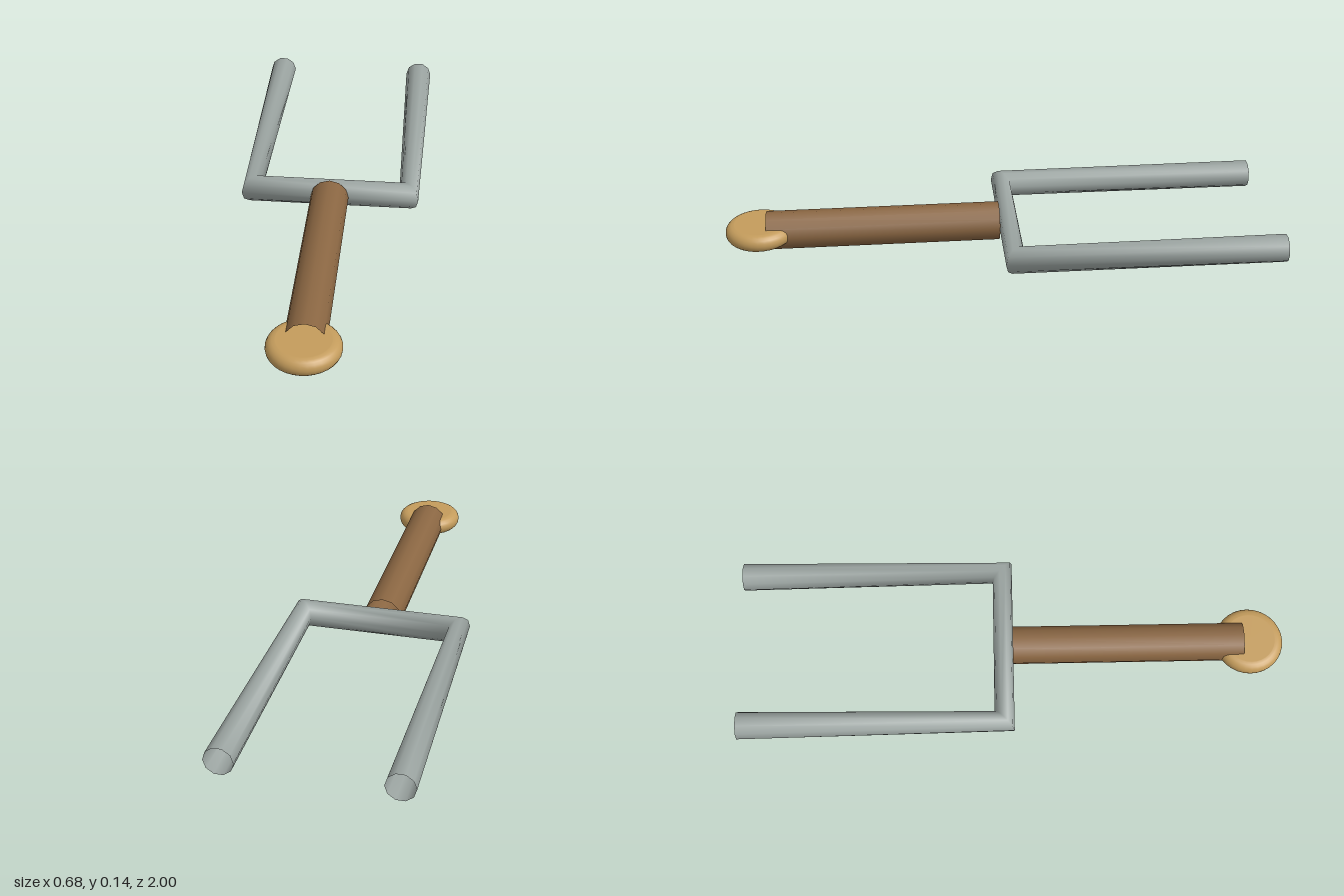
import * as THREE from 'three';

const MID = 0.07; // height of the common axis

// Square-cornered fork tube: one ring per path point, turned 45 degrees at the corners
function forkGeometry(radius, sides) {
  const h = Math.SQRT1_2;
  const rings = [ // centre x, centre z, outward side x, outward side z
    [-0.291, -1, -1, 0],
    [-0.291, -0.031, -h, h],
    [0.291, -0.031, h, h],
    [0.291, -1, 1, 0],
  ];
  const positions = [], normals = [], index = [];
  rings.forEach(([cx, cz, sx, sz], i) => {
    for (let j = 0; j <= sides; j++) {
      const a = (j / sides) * Math.PI * 2;
      const nx = Math.cos(a) * sx, ny = Math.sin(a), nz = Math.cos(a) * sz;
      normals.push(nx, ny, nz);
      positions.push(cx + nx * radius, MID + ny * radius, cz + nz * radius);
      if (i < rings.length - 1 && j < sides) {
        const p = i * (sides + 1) + j, q = p + sides + 1;
        index.push(p, q, p + 1, p + 1, q, q + 1);
      }
    }
  });
  const g = new THREE.BufferGeometry();
  g.setAttribute('position', new THREE.Float32BufferAttribute(positions, 3));
  g.setAttribute('normal', new THREE.Float32BufferAttribute(normals, 3));
  g.setIndex(index);
  return g;
}

// Flat disc with a half-round rim
function knobGeometry(radius, rim) {
  const flat = radius - rim;
  const profile = [new THREE.Vector2(0, -rim), new THREE.Vector2(flat - 0.002, -rim)];
  for (let i = 0; i <= 10; i++) {
    const a = -Math.PI / 2 + (i / 10) * Math.PI;
    profile.push(new THREE.Vector2(flat + Math.cos(a) * rim, Math.sin(a) * rim));
  }
  profile.push(new THREE.Vector2(flat - 0.002, rim), new THREE.Vector2(0, rim));
  return new THREE.LatheGeometry(profile, 32);
}

export function createModel() {
  const steel = new THREE.MeshStandardMaterial({ color: 0x9aa3a0, side: THREE.DoubleSide });
  steel.name = 'steel grey';
  const wood = new THREE.MeshStandardMaterial({ color: 0x8a6642, side: THREE.DoubleSide });
  wood.name = 'wood brown';
  const brass = new THREE.MeshStandardMaterial({ color: 0xc49c5c });
  brass.name = 'brass';

  const model = new THREE.Group();
  model.name = 'twoProngedFork';
  const add = (name, geometry, material) => {
    const mesh = new THREE.Mesh(geometry, material);
    mesh.name = name;
    model.add(mesh);
    return mesh;
  };

  // Crossbar and both prongs in one open tube
  add('prongs', forkGeometry(0.051, 10), steel);

  // Open-ended handle
  const handle = add('handle', new THREE.CylinderGeometry(0.07, 0.07, 0.847, 12, 1, true), wood);
  handle.rotation.x = Math.PI / 2;
  handle.position.set(0, MID, 0.4265);

  // Knob at the handle's end
  add('knob', knobGeometry(0.124, 0.0315), brass).position.set(0, MID + 0.001, 0.876);

  return model;
}
